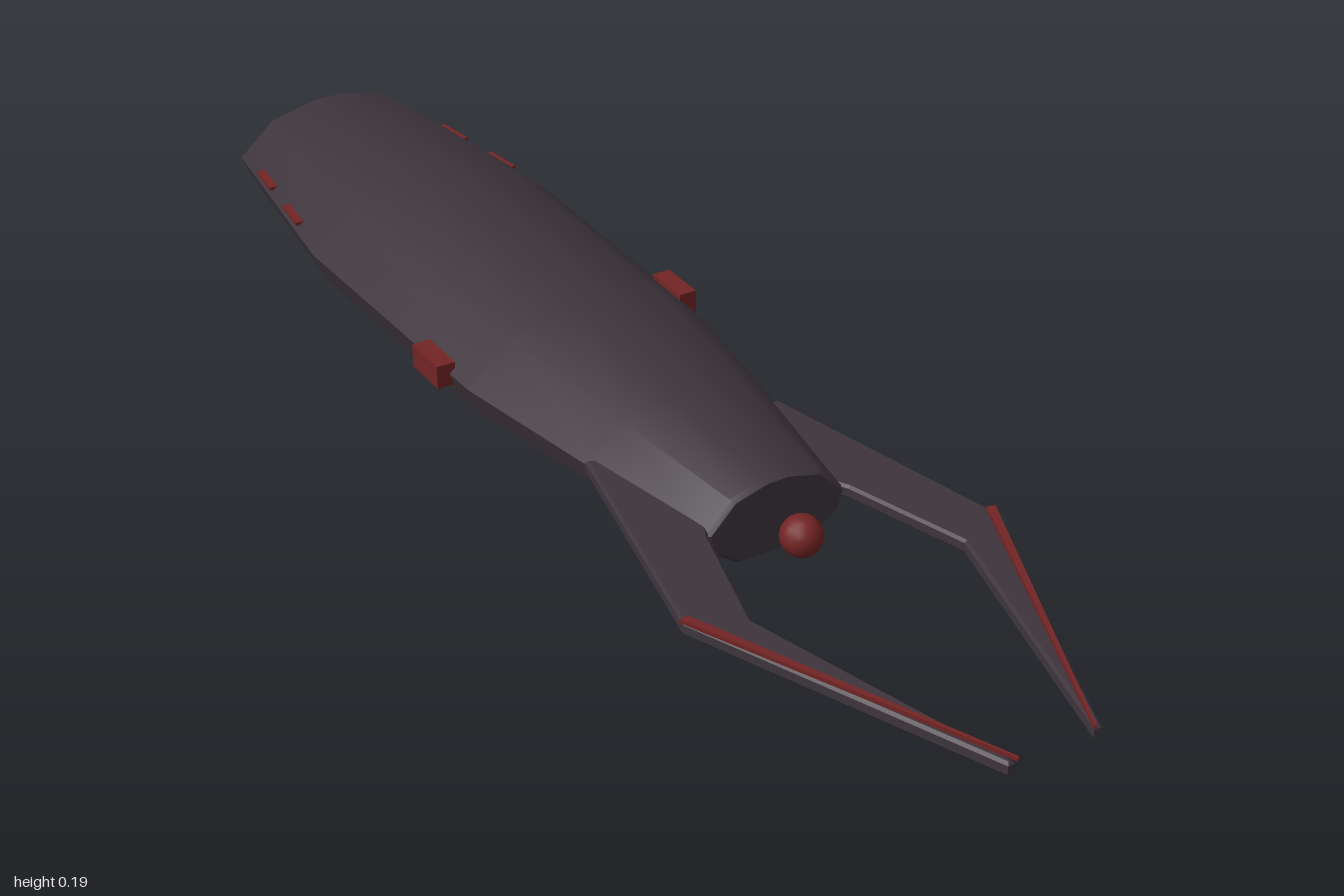
import * as THREE from 'three';
import { toCreasedNormals } from 'three/addons/utils/BufferGeometryUtils.js';

const hull = new THREE.MeshStandardMaterial({ color: 0x3e353c });
hull.name = 'dark hull';
const red = new THREE.MeshStandardMaterial({ color: 0x732424 });
red.name = 'dark red';

const MID = 0.095;

// Half of the hull section, from lower keel to roof, as fractions of half width and height
const half = [[0.51, -1], [0.92, -0.48], [1, 0], [0.64, 0.74], [0.16, 1]];
const section = [...half, ...half.slice().reverse().map(([x, y]) => [-x, y])];

// z, half width, top, bottom
const stations = [
  [-1, 0.166, 0.167, 0.03],
  [-0.992, 0.172, 0.172, 0.025],
  [-0.6, 0.22, 0.192, 0],
  [-0.1, 0.206, 0.183, 0.001],
  [0.17, 0.16, 0.168, 0.019],
  [0.4, 0.116, 0.155, 0.032],
  [0.408, 0.108, 0.15, 0.038],
];

function hullGeometry() {
  const pos = [], index = [], n = section.length, last = stations.length - 1;
  for (const [z, w, top, bottom] of stations) {
    for (const [x, y] of section) {
      pos.push(x * w, MID + (y > 0 ? y * (top - MID) : y * (MID - bottom)), z);
    }
  }
  for (let i = 0; i < last; i++) {
    for (let j = 0; j < n; j++) {
      const k = (j + 1) % n, a = i * n, b = a + n;
      index.push(a + j, a + k, b + k, a + j, b + k, b + j);
    }
  }
  // end caps
  for (let j = 1; j < n - 1; j++) {
    index.push(0, j + 1, j);
    index.push(last * n, last * n + j, last * n + j + 1);
  }
  const g = new THREE.BufferGeometry();
  g.setAttribute('position', new THREE.Float32BufferAttribute(pos, 3));
  g.setIndex(index);
  return toCreasedNormals(g, 0.6);
}

// Flat plate from (x, z) points, its upper face at y = top
function plate(points, side, top, thickness, bevel) {
  const shape = new THREE.Shape(points.map(([x, z]) => new THREE.Vector2(x * side, z)));
  const g = new THREE.ExtrudeGeometry(shape, {
    depth: thickness - 2 * bevel, bevelEnabled: bevel > 0,
    bevelSize: bevel, bevelThickness: bevel, bevelSegments: 1,
  });
  g.rotateX(Math.PI / 2);
  g.translate(0, top - bevel, 0);
  return g;
}

export function createModel() {
  const model = new THREE.Group();
  model.name = 'model';
  const add = (geometry, material, name, x = 0, y = 0, z = 0) => {
    const m = new THREE.Mesh(geometry, material);
    m.name = name;
    m.position.set(x, y, z);
    model.add(m);
    return m;
  };

  add(hullGeometry(), hull, 'hull');

  // glowing eye between the claws
  const eye = new THREE.IcosahedronGeometry(0.031, 2);
  add(eye, red, 'eye', 0, 0.093, 0.465);

  for (const [side, label] of [[1, 'left'], [-1, 'right']]) {
    // bent claw rooted in the hull
    const claw = [[0.09, 0.2], [0.159, 0.17], [0.246, 0.56], [0.069, 0.993],
      [0.065, 0.993], [0.175, 0.6], [0.119, 0.41], [0.09, 0.36]];
    add(plate(claw, side, 0.103, 0.021, 0.004), hull, label + 'Claw');

    // raised red edge along the outside of the claw tip
    const edge = [[0.254, 0.56], [0.06, 1], [0.057, 0.998], [0.241, 0.557]];
    add(plate(edge, side, 0.109, 0.006, 0), red, label + 'ClawEdge');

    // side fin
    add(new THREE.BoxGeometry(0.03, 0.038, 0.08), red, label + 'Fin', side * 0.213, 0.094, -0.195);

    // slim lights set into the tapering rear flank
    for (const z of [-0.73, -0.87]) {
      const w = 0.22 + (z + 0.6) * 0.122;
      const light = add(new THREE.BoxGeometry(0.014, 0.006, 0.07), red, label + 'RearLight',
        side * (w - 0.009), 0.106, z);
      light.rotation.y = side * 0.122;
    }
  }
  return model;
}
